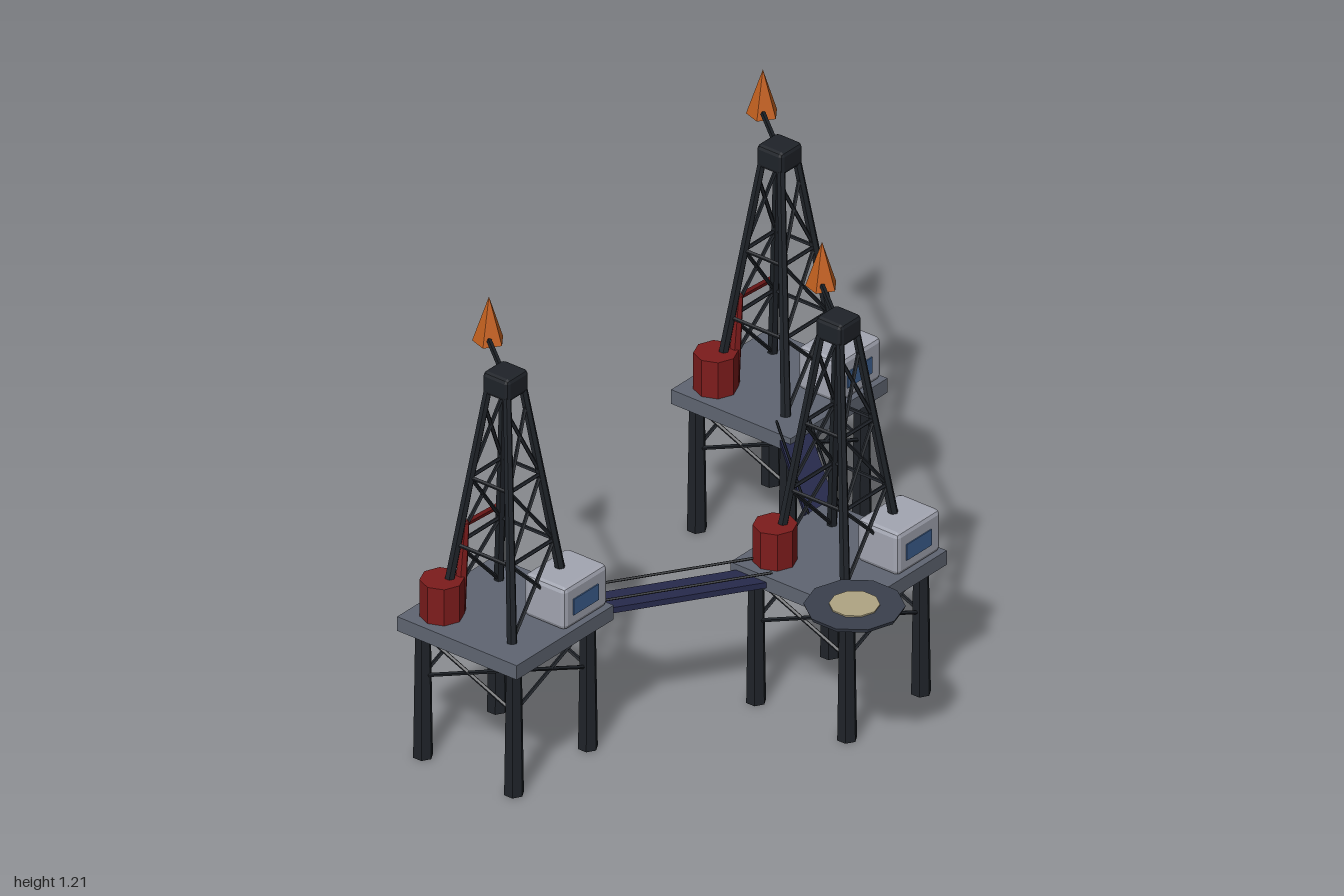
import * as THREE from 'three';
import { RoundedBoxGeometry } from 'three/addons/geometries/RoundedBoxGeometry.js';

const mat = (color) => new THREE.MeshStandardMaterial({ color, flatShading: true });
const M = {
  steel: mat(0x1f2329), deck: mat(0x5f6572), house: mat(0xa3a6b2), window: mat(0x3d6090),
  red: mat(0x7d1c1c), bridge: mat(0x272a4c), flame: mat(0xc2601f), pad: mat(0x3a404d), beige: mat(0xb0a583),
};
const V = (x, y, z) => new THREE.Vector3(x, y, z);

function add(parent, name, geo, material, x = 0, y = 0, z = 0) {
  const mesh = new THREE.Mesh(geo, material);
  mesh.name = name;
  mesh.position.set(x, y, z);
  parent.add(mesh);
  return mesh;
}

// Straight bar between two points
function bar(parent, name, a, b, r, material = M.steel, sides = 5, rEnd = r) {
  const dir = b.clone().sub(a);
  const mid = a.clone().add(b).multiplyScalar(0.5);
  const mesh = add(parent, name, new THREE.CylinderGeometry(rEnd, r, dir.length(), sides), material, mid.x, mid.y, mid.z);
  mesh.quaternion.setFromUnitVectors(V(0, 1, 0), dir.normalize());
  return mesh;
}

const corners = [[-1, -1], [1, -1], [1, 1], [-1, 1]];

// Legs under the deck with crossed braces on all four sides
function substructure(p) {
  const o = 0.16;
  corners.forEach(([sx, sz], i) => {
    add(p, 'leg', new THREE.CylinderGeometry(0.023, 0.029, 0.4, 6), M.steel, sx * o, 0.2, sz * o);
    const [nx, nz] = corners[(i + 1) % 4];
    bar(p, 'legBrace', V(sx * o, 0.39, sz * o), V(nx * o, 0.255, nz * o), 0.006);
    bar(p, 'legBrace', V(sx * o, 0.255, sz * o), V(nx * o, 0.39, nz * o), 0.006);
  });
}

// Tapered lattice tower with a chamfered cap
function derrick(p) {
  const y0 = 0.445, y1 = 1.15;
  const half = (y) => THREE.MathUtils.mapLinear(y, y0, y1, 0.122, 0.034);
  const at = ([sx, sz], y) => V(sx * half(y), y, sz * half(y));
  const levels = [y0, 0.665, 0.875, 1.1];
  corners.forEach((c, i) => {
    const n = corners[(i + 1) % 4];
    bar(p, 'towerLeg', at(c, y0), at(c, y1), 0.015, M.steel, 6, 0.012);
    for (const y of [0.665, 0.875]) bar(p, 'towerRing', at(c, y), at(n, y), 0.006);
    if (c[1] !== n[1]) return;
    for (let k = 0; k < 3; k++) {
      bar(p, 'towerBrace', at(c, levels[k]), at(n, levels[k + 1]), 0.006);
      bar(p, 'towerBrace', at(n, levels[k]), at(c, levels[k + 1]), 0.006);
    }
  });
  add(p, 'towerCap', new RoundedBoxGeometry(0.092, 0.07, 0.092, 1, 0.012), M.steel, 0, 1.172, 0);
}

function platform(x, z, hasCrane) {
  const p = new THREE.Group();
  p.name = 'platform';
  p.position.set(x, 0, z);
  substructure(p);
  add(p, 'deck', new THREE.BoxGeometry(0.42, 0.045, 0.42), M.deck, 0, 0.4225, 0);
  derrick(p);

  // Cabin with a front window
  add(p, 'cabin', new RoundedBoxGeometry(0.188, 0.132, 0.145, 1, 0.014), M.house, 0.108, 0.51, 0.124);
  add(p, 'cabinWindow', new THREE.BoxGeometry(0.108, 0.05, 0.008), M.window, 0.104, 0.507, 0.196);

  // Storage tank
  add(p, 'tank', new THREE.CylinderGeometry(0.062, 0.062, 0.115, 8), M.red, -0.125, 0.502, -0.122);

  // Flare arm and flame
  bar(p, 'flareArm', V(0, 1.18, 0), V(0.32, 1.043, -0.32), 0.008);
  add(p, 'flame', new THREE.ConeGeometry(0.046, 0.14, 5), M.flame, 0.325, 1.103, -0.322);

  if (hasCrane) {
    bar(p, 'cranePost', V(-0.078, 0.445, -0.1), V(-0.068, 0.725, -0.085), 0.02, M.red, 6, 0.011);
    bar(p, 'craneBoom', V(-0.07, 0.722, -0.085), V(0.247, 0.588, -0.22), 0.009, M.red);
  }
  return p;
}

// Walkway between two deck edges with a rail on each side
function bridge(x0, z0, x1, z1) {
  const g = new THREE.Group();
  g.name = 'bridge';
  const len = Math.hypot(x1 - x0, z1 - z0);
  g.position.set((x0 + x1) / 2, 0, (z0 + z1) / 2);
  g.rotation.y = -Math.atan2(z1 - z0, x1 - x0);
  add(g, 'walkway', new THREE.BoxGeometry(len, 0.018, 0.09), M.bridge, 0, 0.418, 0);
  for (const s of [-1, 1]) bar(g, 'rail', V(-len / 2, 0.455, s * 0.045), V(len / 2, 0.455, s * 0.045), 0.004, M.steel);
  return g;
}

// Round landing pad carried by a strut from the deck corner
function landingPad() {
  const g = new THREE.Group();
  g.name = 'landingPad';
  add(g, 'padDisc', new THREE.CylinderGeometry(0.14, 0.135, 0.012, 10), M.pad, -0.27, 0.52, 0.605);
  add(g, 'padCentre', new THREE.CylinderGeometry(0.07, 0.07, 0.004, 10), M.beige, -0.27, 0.528, 0.605);
  bar(g, 'padStrut', V(-0.25, 0.516, 0.59), V(-0.13, 0.44, 0.48), 0.011);
  return g;
}

export function createModel() {
  const model = new THREE.Group();
  model.name = 'offshoreRigs';
  model.add(
    platform(-0.79, -0.2, true),
    platform(0.012, 0.32, false),
    platform(0.63, -0.39, true),
    bridge(-0.62, -0.09, -0.16, 0.208),
    bridge(0.16, 0.15, 0.49, -0.229),
    landingPad(),
  );
  return model;
}
